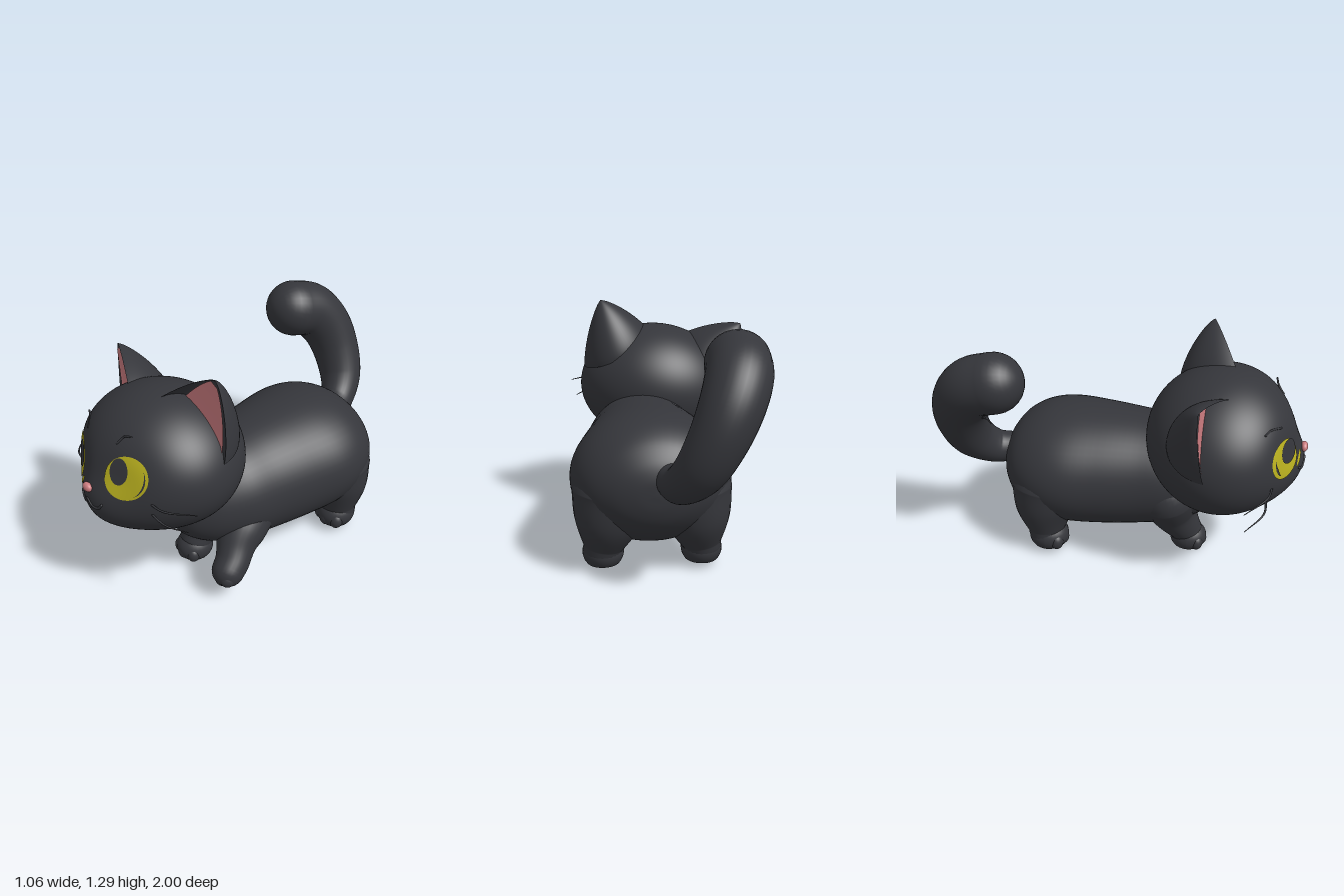
import * as THREE from 'three';
import { mergeVertices } from 'three/addons/utils/BufferGeometryUtils.js';

const V = (x, y, z) => new THREE.Vector3(x, y, z);
const fur = new THREE.MeshStandardMaterial({ color: 0x35363b });
const yellow = new THREE.MeshStandardMaterial({ color: 0xb8af1f });
const pink = new THREE.MeshStandardMaterial({ color: 0xcc7c80 });
fur.name = 'charcoal fur'; yellow.name = 'yellow iris'; pink.name = 'pink skin';

// Smooth surface from a rule fn(u, v) -> point
function surface(name, mat, rows, cols, fn) {
  const pos = [], idx = [];
  for (let i = 0; i <= rows; i++)
    for (let j = 0; j <= cols; j++) pos.push(...fn(i / rows, j / cols).toArray());
  for (let i = 0; i < rows; i++)
    for (let j = 0; j < cols; j++) {
      const a = i * (cols + 1) + j, b = a + cols + 1;
      idx.push(a, b, a + 1, b, b + 1, a + 1);
    }
  let geo = new THREE.BufferGeometry();
  geo.setAttribute('position', new THREE.Float32BufferAttribute(pos, 3));
  geo.setIndex(idx);
  geo = mergeVertices(geo, 1e-5);
  geo.computeVertexNormals();
  const mesh = new THREE.Mesh(geo, mat);
  mesh.name = name;
  return mesh;
}

// Round limb along a curve; each point is [x, y, z, radius], with domed ends
function limb(name, mat, pts, rows = 40, cols = 28) {
  const curve = new THREE.CatmullRomCurve3(pts.map(p => V(p[0], p[1], p[2])));
  const rad = new THREE.CatmullRomCurve3(pts.map((p, i) => V(i, p[3], 0)));
  const frames = curve.computeFrenetFrames(rows, false);
  const cap = 8, total = rows + 2 * cap;
  return surface(name, mat, total, cols, (u, v) => {
    const i = Math.round(u * total), k = Math.min(Math.max(i - cap, 0), rows), t = k / rows;
    const over = i < cap ? i - cap : i > rows + cap ? i - rows - cap : 0;
    const th = over / cap * Math.PI / 2, r = Math.max(rad.getPoint(t).y, 0.001), a = -v * Math.PI * 2;
    return curve.getPointAt(t)
      .addScaledVector(frames.tangents[k], r * Math.sin(th))
      .addScaledVector(frames.normals[k], r * Math.cos(th) * Math.cos(a))
      .addScaledVector(frames.binormals[k], r * Math.cos(th) * Math.sin(a));
  });
}

function ball(name, mat, x, y, z, rx, ry, rz, floor = -9) {
  const geo = new THREE.SphereGeometry(1, 28, 20).scale(rx, ry, rz).translate(x, y, z);
  const p = geo.attributes.position;
  for (let i = 0; i < p.count; i++) if (p.getY(i) < floor) p.setY(i, floor);
  geo.computeVertexNormals();
  const mesh = new THREE.Mesh(geo, mat);
  mesh.name = name;
  return mesh;
}

// Paw with a flat sole and three soft toes
function paw(name, x, z, floor, r) {
  const g = new THREE.Group();
  g.name = name;
  g.add(ball('pad', fur, x, floor + r * 0.55, z, r, r * 0.9, r * 1.06, floor));
  for (const s of [-1, 0, 1])
    g.add(ball('toe', fur, x + s * r * 0.55, floor + r * 0.42, z + r * (0.72 - 0.18 * s * s), r * 0.38, r * 0.45, r * 0.36, floor));
  return g;
}

// Head shape, in its own frame: a wide ellipsoid with a full chin, a small muzzle and shallow eye sockets
const A = 0.463, B = 0.37, CF = 0.39, CB = 0.41;
const hump = (x, y, sx, sy) => Math.exp(-((x / sx) ** 2) - (y / sy) ** 2);
const widen = y => 1 - 0.05 * y / B;
const relief = (x, y) => 0.105 * hump(x, y + 0.25, 0.3, 0.19) + 0.015 * hump(x, y + 0.05, 0.13, 0.08)
  - 0.025 * hump(Math.abs(x) - 0.206, y - 0.06, 0.13, 0.13);
const faceZ = (x, y) => (CF + relief(x, y)) * Math.sqrt(Math.max(0, 1 - (x / widen(y) / A) ** 2 - (y / B) ** 2));

// Thin elliptical plate, or tapered arc, lying on the face
function plate(name, mat, cx, cy, rx, ry, lift, { inner = 0, from = 0, sweep = 2 * Math.PI, rot = 0 } = {}) {
  return surface(name, mat, 10, 48, (u, v) => {
    const r = inner ? 1 - (1 - inner) * Math.sin(Math.PI * v) * (1 - u) : u, a = from + v * sweep;
    const px = rx * r * Math.cos(a), py = ry * r * Math.sin(a);
    const x = cx + px * Math.cos(rot) - py * Math.sin(rot), y = cy + px * Math.sin(rot) + py * Math.cos(rot);
    return V(x, y, faceZ(x, y) + lift);
  });
}

// Ear: a rounded cone with a thick rim around a hollow pink front
function ear(side) {
  const g = new THREE.Group();
  g.name = side > 0 ? 'leftEar' : 'rightEar';
  const inner = V(0.1, 0.31, 0.06), outer = V(0.455, 0.05, -0.06), tip = V(0.425, 0.458, -0.1);
  const mid = inner.clone().add(outer).multiplyScalar(0.5), half = inner.clone().sub(outer).multiplyScalar(0.5);
  const back = V(-0.04, 0, -0.26);
  const at = (t, s, depth) => {
    const w = Math.pow(1 - Math.pow(t, 1.25), 0.8);
    const p = mid.clone().lerp(tip, t).addScaledVector(half, s * w).addScaledVector(back, depth * w);
    p.x *= side;
    return p;
  };
  const hollow = s => (0.3 + 0.22 * s) * Math.sqrt(Math.min(1, (1 - Math.abs(s)) * 4));
  const flip = v => side > 0 ? v : 1 - v;
  g.add(surface('earShell', fur, 32, 64, (u, v) => {
    const a = flip(v) * Math.PI * 2, s = Math.cos(a);
    return at(1 - (1 - u) ** 1.6, s, Math.sin(a) > 0 ? Math.sin(a) : hollow(s));
  }));
  g.add(surface('innerEar', pink, 24, 24, (u, v) => {
    const p = at(u * 0.93, -0.86 + flip(v) * 1.58, hollow(-0.86 + flip(v) * 1.58));
    p.z += 0.007;
    return p;
  }));
  return g;
}

function makeHead() {
  const g = new THREE.Group();
  g.name = 'head';
  g.add(surface('skull', fur, 64, 96, (u, v) => {
    const la = u * Math.PI, lo = v * Math.PI * 2;
    const y = B * Math.cos(la), x = A * Math.sin(la) * Math.sin(lo) * widen(y), d = Math.sin(la) * Math.cos(lo);
    return V(x, y, d > 0 ? d * (CF + relief(x, y)) : d * CB);
  }));
  g.add(ear(1), ear(-1));
  // Eyes, with pupils glancing up and inward
  g.add(plate('rightIris', yellow, -0.208, 0.055, 0.111, 0.102, 0.005));
  g.add(plate('rightPupil', fur, -0.172, 0.078, 0.068, 0.063, 0.009));
  g.add(plate('rightEyeRim', fur, -0.208, 0.055, 0.094, 0.086, 0.009, { inner: 0.86, from: 2.6, sweep: 1.3 }));
  g.add(plate('rightEyeCorner', yellow, -0.1, -0.022, 0.048, 0.012, 0.005, { rot: 0.72 }));
  g.add(plate('leftIris', yellow, 0.206, 0.06, 0.11, 0.104, 0.005));
  g.add(plate('leftPupil', fur, 0.172, 0.09, 0.047, 0.064, 0.009));
  g.add(plate('leftEyeRim', fur, 0.206, 0.06, 0.1, 0.094, 0.009, { inner: 0.92, from: -1.1, sweep: 1.6 }));
  g.add(ball('nose', pink, -0.008, -0.018, faceZ(0, -0.018) + 0.006, 0.033, 0.025, 0.02));
  // Mouth and brow hairs
  const onFace = (name, r, pts) => g.add(limb(name, fur, pts.map(([x, y, l = 0]) => [x, y, faceZ(x, y) + l, r]), 30, 8));
  onFace('mouth', 0.007, [[-0.11, -0.08], [-0.085, -0.105], [-0.05, -0.11], [-0.015, -0.08], [0.015, -0.11], [0.055, -0.115], [0.085, -0.09]]);
  onFace('rightBrow', 0.005, [[-0.15, 0.205], [-0.21, 0.23], [-0.26, 0.235, 0.02]]);
  onFace('leftBrow', 0.005, [[0.13, 0.21], [0.16, 0.242, 0.01], [0.21, 0.252, 0.04]]);
  g.position.set(-0.005, 0.765, 0.55);
  g.rotation.z = 0.175;
  return g;
}

// Body lofted front to back: [z, centre y, half width, half height]
function makeBody() {
  const rows = [[0.585, 0.42, 0, 0], [0.565, 0.42, 0.09, 0.09], [0.52, 0.43, 0.17, 0.16], [0.43, 0.45, 0.25, 0.24], [0.28, 0.46, 0.315, 0.305],
    [0.1, 0.455, 0.345, 0.33], [-0.1, 0.458, 0.385, 0.345], [-0.3, 0.465, 0.42, 0.345], [-0.45, 0.47, 0.4, 0.32],
    [-0.57, 0.475, 0.33, 0.255], [-0.645, 0.475, 0.225, 0.17], [-0.68, 0.475, 0.11, 0.085], [-0.688, 0.475, 0, 0]];
  const spine = new THREE.CatmullRomCurve3(rows.map(r => V(0.11, r[1], r[0])), false, 'catmullrom');
  const girth = new THREE.CatmullRomCurve3(rows.map(r => V(r[2], r[3], 0)), false, 'catmullrom');
  return surface('body', fur, 72, 56, (u, v) => {
    const p = spine.getPoint(u), r = girth.getPoint(u), a = v * Math.PI * 2;
    return V(p.x + Math.max(r.x, 0) * Math.cos(a), p.y + Math.max(r.y, 0) * Math.sin(a), p.z);
  });
}

export function createModel() {
  const cat = new THREE.Group();
  cat.name = 'cat';
  cat.add(makeBody(), makeHead());

  // Tail curling up and forward
  cat.add(limb('tail', fur, [[0.045, 0.545, -0.62, 0.08], [0.005, 0.555, -0.74, 0.1], [-0.07, 0.655, -0.84, 0.124], [-0.15, 0.81, -0.863, 0.138],
    [-0.215, 0.955, -0.825, 0.15], [-0.26, 1.06, -0.735, 0.158], [-0.277, 1.1, -0.615, 0.16]], 60, 32));

  // Hind legs, with broad haunches
  for (const [name, s] of [['leftHindLeg', 1], ['rightHindLeg', -1]]) {
    const x = 0.11 + s * 0.257;
    cat.add(limb(name, fur, [[0.11 + s * 0.205, 0.4, -0.41, 0.21], [0.11 + s * 0.232, 0.26, -0.425, 0.172], [x, 0.12, -0.42, 0.103]]));
    cat.add(paw(name.replace('Leg', 'Paw'), x, -0.405, 0.03, 0.108));
  }

  // Planted front leg
  cat.add(limb('rightFrontLeg', fur, [[-0.05, 0.38, 0.27, 0.17], [0, 0.24, 0.3, 0.135], [0.028, 0.1, 0.375, 0.092]]));
  cat.add(paw('rightFrontPaw', 0.03, 0.39, 0, 0.1));

  // Lifted front leg
  cat.add(limb('leftFrontLeg', fur, [[0.29, 0.355, 0.22, 0.145], [0.34, 0.275, 0.33, 0.13], [0.39, 0.195, 0.41, 0.1], [0.405, 0.165, 0.45, 0.088]]));
  for (const [x, y, z] of [[0.355, 0.108, 0.45], [0.4, 0.125, 0.48], [0.442, 0.15, 0.485]])
    cat.add(ball('leftFrontToe', fur, x, y, z, 0.043, 0.046, 0.045));

  // Whiskers
  for (const [a, b, c] of [
    [[-0.26, 0.655, 0.83], [-0.4, 0.655, 0.81], [-0.53, 0.63, 0.7]],
    [[-0.25, 0.578, 0.8], [-0.38, 0.545, 0.8], [-0.49, 0.5, 0.71]],
    [[0.28, 0.757, 0.83], [0.4, 0.765, 0.82], [0.52, 0.765, 0.72]],
    [[0.28, 0.705, 0.83], [0.4, 0.685, 0.82], [0.49, 0.66, 0.75]]])
    cat.add(limb('whisker', fur, [[...a, 0.006], [...b, 0.005], [...c, 0.002]], 14, 8));
  return cat;
}
